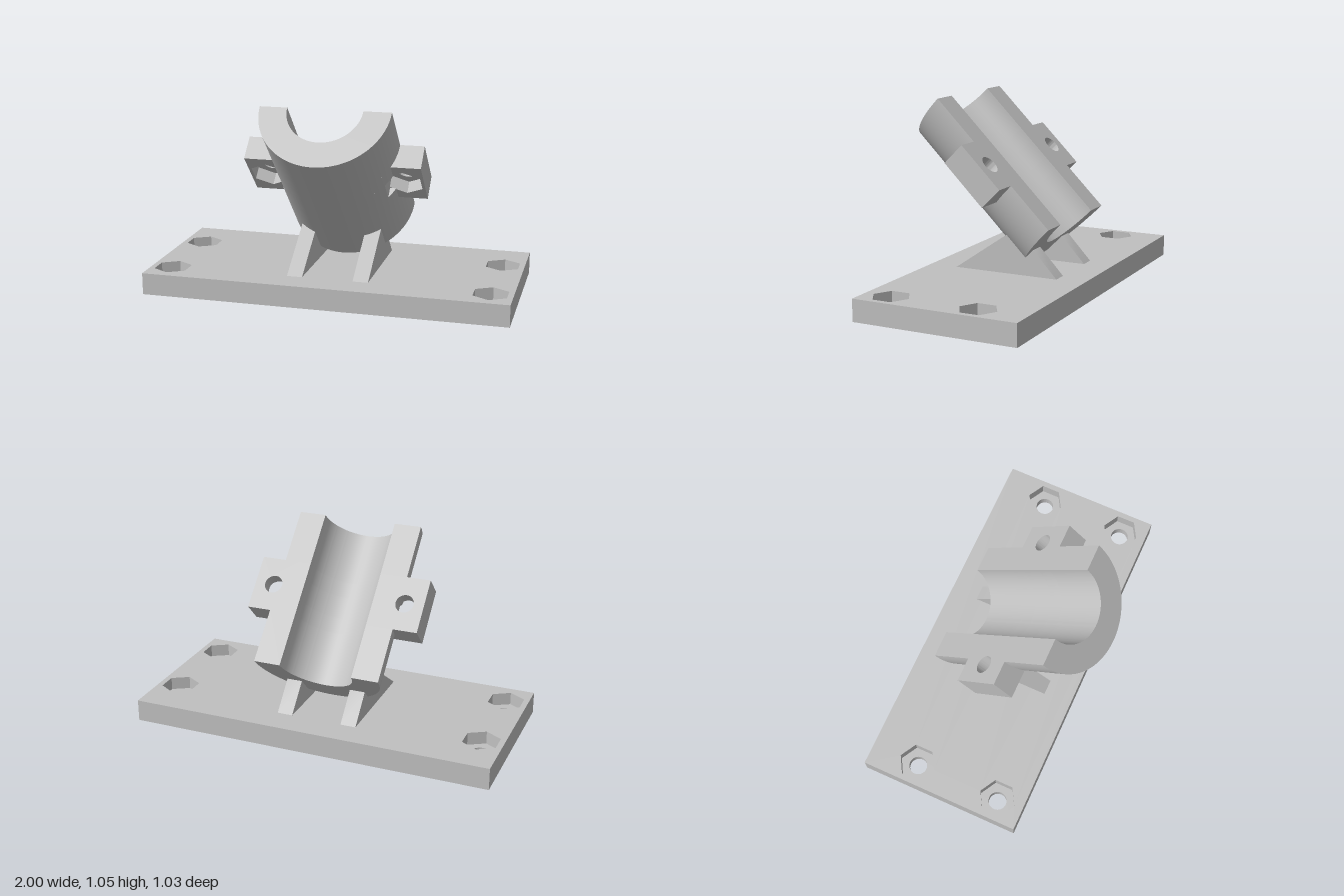
import * as THREE from 'three';
import { toCreasedNormals } from 'three/addons/utils/BufferGeometryUtils.js';

const R = 0.352, r = 0.203;          // half pipe radii
const LENGTH = 0.905;                // half pipe length
const EAR_T = 0.141, EAR_L = 0.304;  // ear thickness and length
const HOLE = 0.05, HEX = 0.103;      // bolt hole radius, nut pocket corner radius

const extrude = (shape, depth) => toCreasedNormals(
  new THREE.ExtrudeGeometry(shape, { depth, bevelEnabled: false, curveSegments: 40 }), 0.5);

// Circular or hexagonal hole centred at (x, z); hexagon corners point along z
function hole(x, z, hex) {
  const path = new THREE.Path();
  if (!hex) return path.absarc(x, -z, HOLE, 0, Math.PI * 2, true);
  const pts = [];
  for (let i = 0; i < 6; i++) {
    const a = Math.PI / 2 - i * Math.PI / 3;
    pts.push(new THREE.Vector2(x + HEX * Math.cos(a), -z + HEX * Math.sin(a)));
  }
  return path.setFromPoints(pts);
}

// Horizontal rectangular plate from y0 to y1 with holes
function plate(x0, x1, z0, z1, y0, y1, centres, hex) {
  const s = new THREE.Shape();
  s.moveTo(x0, -z1).lineTo(x1, -z1).lineTo(x1, -z0).lineTo(x0, -z0).closePath();
  for (const [x, z] of centres) s.holes.push(hole(x, z, hex));
  return extrude(s, y1 - y0).rotateX(-Math.PI / 2).translate(0, y0, 0);
}

// Half ring section; with a step, its sides are cut away to make room for the ears
function pipeProfile(step) {
  const s = new THREE.Shape();
  s.moveTo(-r, 0);
  if (step) {
    const phi = Math.acos(step / R);
    s.lineTo(-0.27, 0).lineTo(-0.27, -EAR_T).lineTo(-step, -EAR_T);
    s.absarc(0, 0, R, Math.PI + phi, 2 * Math.PI - phi, false);
    s.lineTo(step, -EAR_T).lineTo(0.27, -EAR_T).lineTo(0.27, 0);
  } else {
    s.lineTo(-R, 0).absarc(0, 0, R, Math.PI, 2 * Math.PI, false);
  }
  s.lineTo(r, 0).absarc(0, 0, r, 2 * Math.PI, Math.PI, true);
  return s;
}

export function createModel() {
  const model = new THREE.Group();
  model.name = 'angledPipeBracket';
  const grey = new THREE.MeshStandardMaterial({ color: 0xc0c0c0 });
  grey.name = 'light grey';
  const add = (parent, name, geometry) => {
    const mesh = new THREE.Mesh(geometry, grey);
    mesh.name = name;
    parent.add(mesh);
    return mesh;
  };

  // Base: round bolt holes below, hexagonal nut pockets above
  const base = new THREE.Group();
  base.name = 'base';
  model.add(base);
  const bolts = [];
  for (const x of [-0.88, 0.88]) for (const z of [-0.305, 0.185]) bolts.push([x, z + 0.058]);
  add(base, 'baseLower', plate(-1, 1, -0.515, 0.395, 0, 0.05, bolts, false));
  add(base, 'baseUpper', plate(-1, 1, -0.515, 0.395, 0.05, 0.12, bolts, true));

  // Two triangular gussets, points given as [z, y]
  const outline = [[0.245, 0.115], [-0.07, 0.333], [-0.225, 0.263], [-0.363, 0.115]];
  const tri = new THREE.Shape(outline.map(([z, y]) => new THREE.Vector2(-z, y)));
  for (const [name, x] of [['leftGusset', 0.14], ['rightGusset', -0.225]]) {
    add(model, name, extrude(tri, 0.085).rotateY(Math.PI / 2).translate(x, 0, 0));
  }

  // Cradle: half pipe along local z, tilted up at 45 degrees
  const cradle = new THREE.Group();
  cradle.name = 'cradle';
  cradle.position.set(0, 0.73, -0.05);
  cradle.rotation.x = -Math.PI / 4;
  model.add(cradle);
  const ledge = Math.sqrt(R * R - EAR_T * EAR_T);
  const pocketSide = HEX * Math.cos(Math.PI / 6);
  const notch = 0.378 - pocketSide; // nut pocket bites into the pipe wall
  const end = LENGTH / 2, ear = EAR_L / 2, core = 0.062;
  const pieces = [
    ['pipeLowerEnd', -end, -ear, 0], ['pipeLowerMiddle', -ear, -core, ledge],
    ['pipeCentre', -core, core, notch],
    ['pipeUpperMiddle', core, ear, ledge], ['pipeUpperEnd', ear, end, 0],
  ];
  for (const [name, z0, z1, step] of pieces) {
    add(cradle, name, extrude(pipeProfile(step), z1 - z0).translate(0, 0, z0));
  }

  // Clamp ears: bolt hole through the top, nut pocket underneath
  for (const [side, sx] of [['left', 1], ['right', -1]]) {
    const x0 = sx > 0 ? 0.27 : -0.484, x1 = sx > 0 ? 0.484 : -0.27;
    const at = [[sx * 0.378, 0]];
    add(cradle, side + 'EarTop', plate(x0, x1, -ear, ear, -0.07, 0, at, false));
    add(cradle, side + 'EarPocket', plate(x0, x1, -ear, ear, -EAR_T, -0.07, at, true));
  }
  return model;
}
